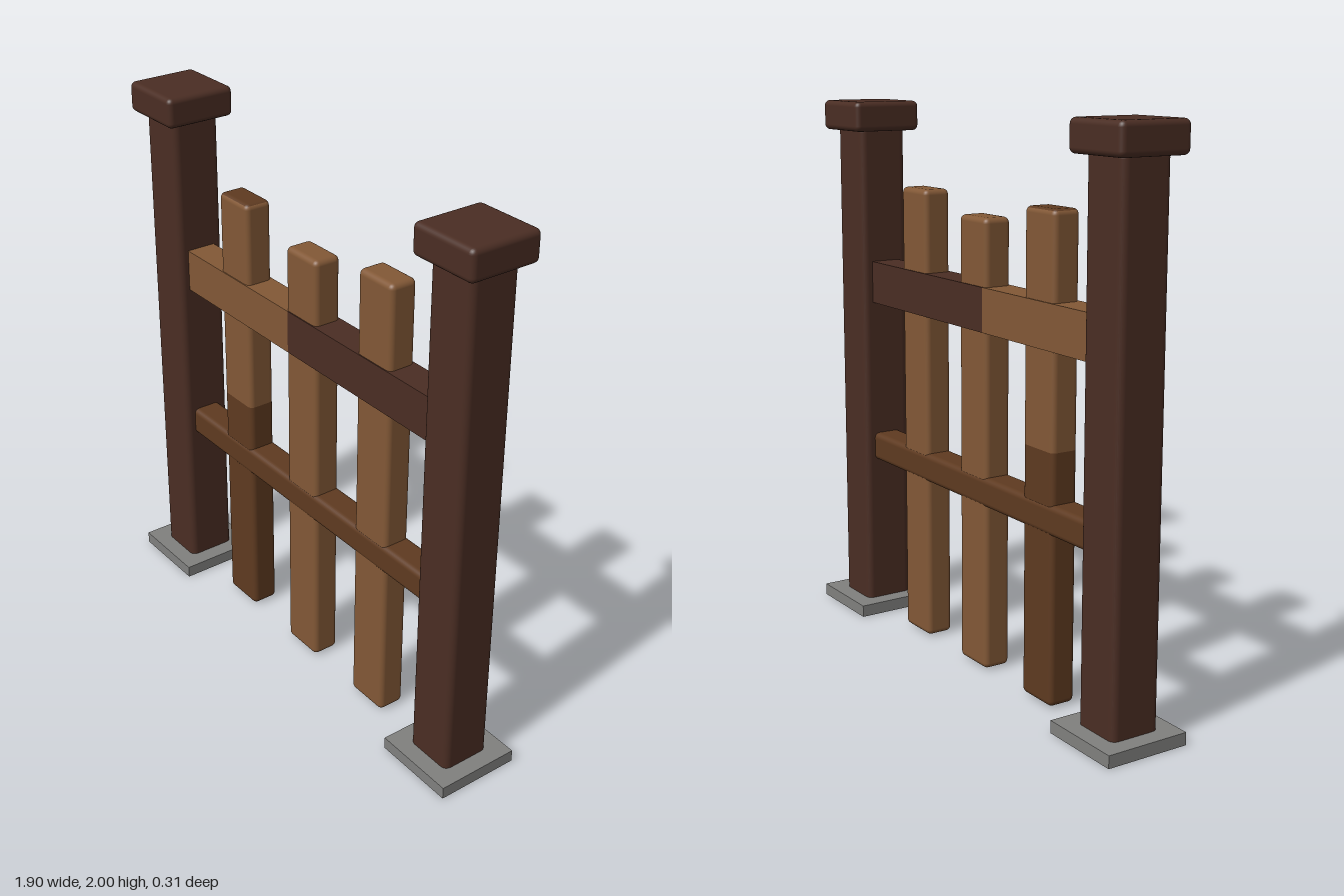
import * as THREE from 'three';
import { RoundedBoxGeometry } from 'three/addons/geometries/RoundedBoxGeometry.js';

const mat = (name, color) => {
  const m = new THREE.MeshStandardMaterial({ color });
  m.name = name;
  return m;
};

// Keep only the part of a geometry between two heights by flattening the rest onto the cut.
function cutHeight(geometry, low, high) {
  const p = geometry.attributes.position;
  const n = geometry.attributes.normal;
  const v = new THREE.Vector3();
  for (let i = 0; i < p.count; i++) {
    const y = p.getY(i);
    if (y >= low && y <= high) continue;
    p.setY(i, THREE.MathUtils.clamp(y, low, high));
    v.fromBufferAttribute(n, i).setY(0).normalize();
    n.setXYZ(i, v.x, v.y, v.z);
  }
  return geometry;
}

export function createModel() {
  const darkWood = mat('dark wood', 0x4a2d23);
  const lightWood = mat('light wood', 0x825836);
  const brownWood = mat('brown wood', 0x5e3a20);
  const stone = mat('grey stone', 0x80807e);

  const model = new THREE.Group();
  model.name = 'fenceSection';

  // Box given by its x and y extents and full depth; a radius rounds its edges.
  function block(name, material, [x0, x1], [y0, y1], depth, radius = 0, parent = model) {
    const w = x1 - x0, h = y1 - y0;
    const geometry = radius
      ? new RoundedBoxGeometry(w, h, depth, 3, radius)
      : new THREE.BoxGeometry(w, h, depth);
    geometry.translate((x0 + x1) / 2, (y0 + y1) / 2, 0);
    const mesh = new THREE.Mesh(geometry, material);
    mesh.name = name;
    parent.add(mesh);
    return mesh;
  }

  // Posts with stone feet and caps
  for (const [side, x] of [['left', 0.793], ['right', -0.793]]) {
    const post = new THREE.Group();
    post.name = side + 'Post';
    const span = (half) => [x - half, x + half];
    block('foot', stone, span(0.157), [0, 0.045], 0.314, 0, post);
    block('shaft', darkWood, span(0.094), [0.01, 1.91], 0.188, 0.025, post);
    block('cap', darkWood, span(0.134), [1.89, 2], 0.268, 0.02, post);
    model.add(post);
  }

  // Pickets
  const pickets = [[-0.4, 1.7], [0, 1.635], [0.395, 1.7]];
  const picket = (name, material, [x, top]) =>
    block(name, material, [x - 0.086, x + 0.086], [0.005, top], 0.104, 0.02);
  picket('middlePicket', lightWood, pickets[1]);
  picket('leftPicket', lightWood, pickets[2]);

  // Two-tone picket with a darker end face
  const split = 0.9;
  const upperWood = [lightWood, lightWood, brownWood, lightWood, lightWood, lightWood];
  const upper = picket('rightPicketUpper', upperWood, pickets[0]);
  cutHeight(upper.geometry, split, 2);
  const lower = picket('rightPicketLower', brownWood, pickets[0]);
  cutHeight(lower.geometry, 0, split);

  // Rails
  block('upperRailLightHalf', lightWood, [-0.74, -0.07], [1.24, 1.398], 0.112);
  block('upperRailDarkHalf', darkWood, [-0.07, 0.74], [1.24, 1.398], 0.112);
  block('lowerRail', brownWood, [-0.74, 0.74], [0.615, 0.722], 0.112, 0.02);

  return model;
}
